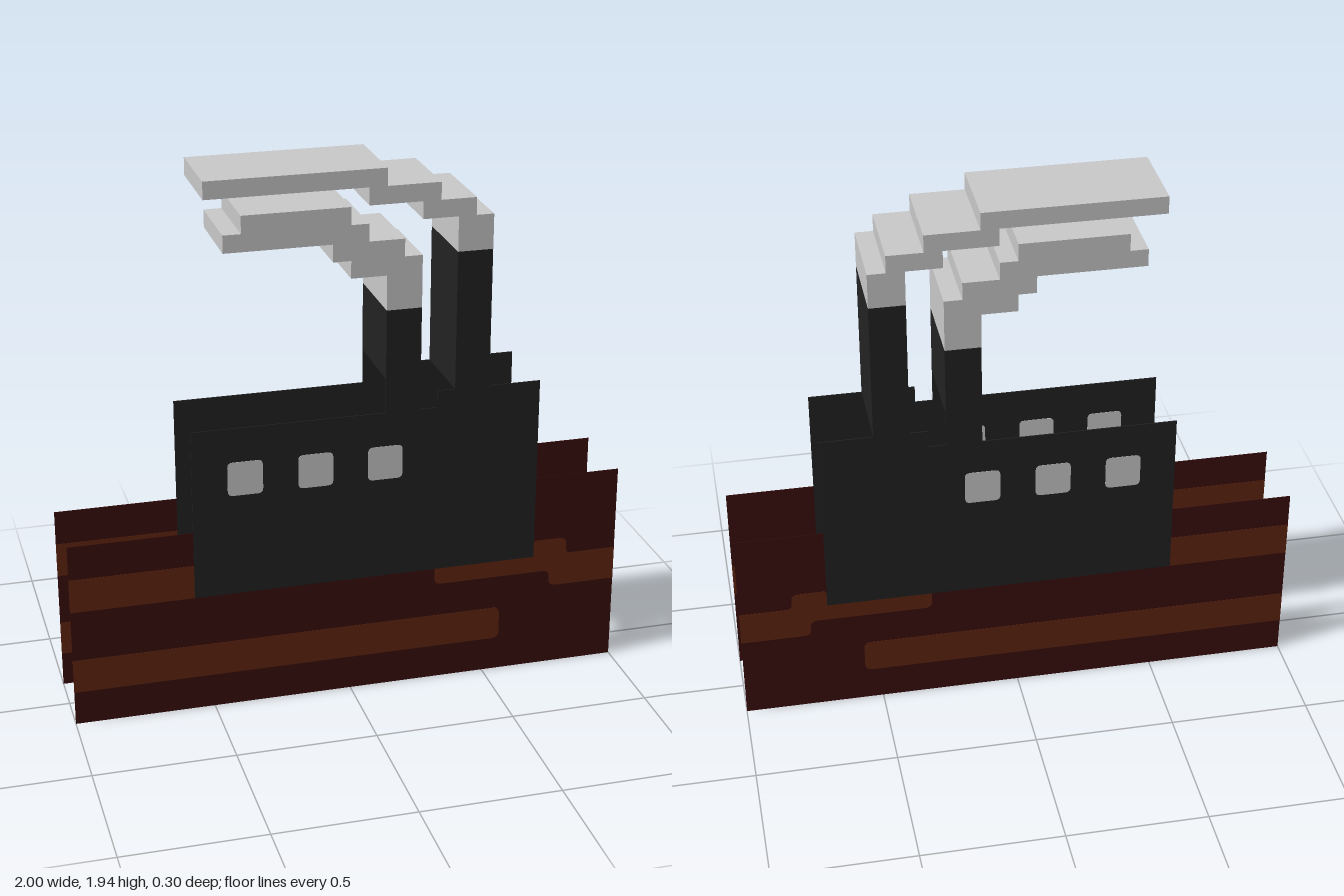
import * as THREE from 'three';

const U = 1 / 16;   // grid step of the pixel-like outlines
const HALF = 0.15;  // half the depth of the model

const mat = (name, color) => {
  const m = new THREE.MeshStandardMaterial({ color });
  m.name = name;
  return m;
};

// Outline from [x, y, r] corners in grid steps; r rounds the corner.
function outline(points) {
  const shape = new THREE.Shape();
  const n = points.length;
  points.forEach(([x, y, r = 0], i) => {
    const c = new THREE.Vector2(x, y);
    const toward = ([px, py]) => new THREE.Vector2(px, py).sub(c).setLength(r).add(c);
    const a = toward(points[(i + n - 1) % n]).multiplyScalar(U);
    const b = toward(points[(i + 1) % n]).multiplyScalar(U);
    if (i === 0) shape.moveTo(a.x, a.y); else shape.lineTo(a.x, a.y);
    if (r) shape.quadraticCurveTo(x * U, y * U, b.x, b.y);
  });
  shape.closePath();
  return shape;
}

const rect = (x0, y0, x1, y1, r = 0) => [[x0, y0, r], [x1, y0, r], [x1, y1, r], [x0, y1, r]];

// Extrusion centred on z = 0
function slab(points, depth) {
  const g = new THREE.ExtrudeGeometry(outline(points), { depth, bevelEnabled: false, curveSegments: 4 });
  return g.translate(0, 0, -depth / 2);
}

export function createModel() {
  const model = new THREE.Group();
  const hullRed = mat('hullRed', 0x3a0c0c);
  const rust = mat('rust', 0x5f240f);
  const black = mat('black', 0x222222);
  const lightGrey = mat('lightGrey', 0xc9c9c9);

  const add = (parent, name, geometry, material) => {
    const mesh = new THREE.Mesh(geometry, material);
    mesh.name = name;
    parent.add(mesh);
    return mesh;
  };

  // Chimneys: x range, top, and where the side walls start
  const chimneys = [
    { x0: 2, x1: 4, base: 17, wall: 19, top: 23 },
    { x0: 6, x1: 8, base: 18, wall: 18, top: 26 },
  ];

  // Two matching thin side sheets; thicker layers show on both faces
  for (const side of [1, -1]) {
    const sheet = new THREE.Group();
    sheet.name = side > 0 ? 'frontSheet' : 'backSheet';
    sheet.position.z = side * (HALF - 0.003);
    model.add(sheet);

    add(sheet, 'hull', slab([[-16, 0], [16, 0], [16, 12], [11, 12], [11, 7], [-9, 7], [-9, 11], [-16, 11]], 0.002), hullRed);

    // Rust streaks
    add(sheet, 'lowerStreak', slab([[-16, 2], [9, 2, 0.4], [9, 4, 0.4], [-16, 4]], 0.004), rust);
    add(sheet, 'upperStreak', slab(rect(-16, 7, -9, 9), 0.004), rust);
    add(sheet, 'bowStreak', slab([
      [5, 6, 0.4], [12, 6, 0.4], [12, 5, 0.4], [16, 5], [16, 7], [13, 7, 0.3],
      [13, 8, 0.4], [11, 8, 0.2], [11, 7], [5, 7],
    ], 0.004), rust);

    // Cabin with its raised step
    add(sheet, 'cabin', slab([[-9, 7], [11, 7], [11, 18], [5, 18], [5, 17], [-9, 17]], 0.004), black);
    for (const x of [-7, -3, 1]) add(sheet, 'window', slab(rect(x, 13, x + 2, 15, 0.3), 0.006), lightGrey);

    for (const c of chimneys) add(sheet, 'chimneyFace', slab(rect(c.x0, c.base, c.x1, c.top), 0.004), black);
  }

  // Side walls joining the chimney faces
  for (const c of chimneys) {
    for (const [x, dir] of [[c.x0, 1], [c.x1, -1]]) {
      const wall = add(model, 'chimneyWall', new THREE.BoxGeometry(0.002, (c.top - c.wall) * U, 2 * HALF - 0.004), black);
      wall.position.set(x * U + dir * 0.001, (c.top + c.wall) / 2 * U, 0);
    }
  }

  // Stepped smoke trails drifting to one side
  add(model, 'lowSmoke', slab([
    [2, 23], [4, 23], [4, 26], [3, 26], [3, 27], [1, 27], [1, 28], [0, 28], [0, 29], [-6, 29],
    [-6, 28], [-7, 28], [-7, 27], [-1, 27], [-1, 26], [0, 26], [0, 25], [2, 25],
  ], 2 * HALF), lightGrey);
  add(model, 'highSmoke', slab([
    [6, 26], [8, 26], [8, 28], [7, 28], [7, 29], [5, 29], [5, 30], [2, 30], [2, 31], [-8, 31],
    [-8, 30], [1, 30], [1, 29], [4, 29], [4, 28], [6, 28],
  ], 2 * HALF), lightGrey);

  return model;
}
